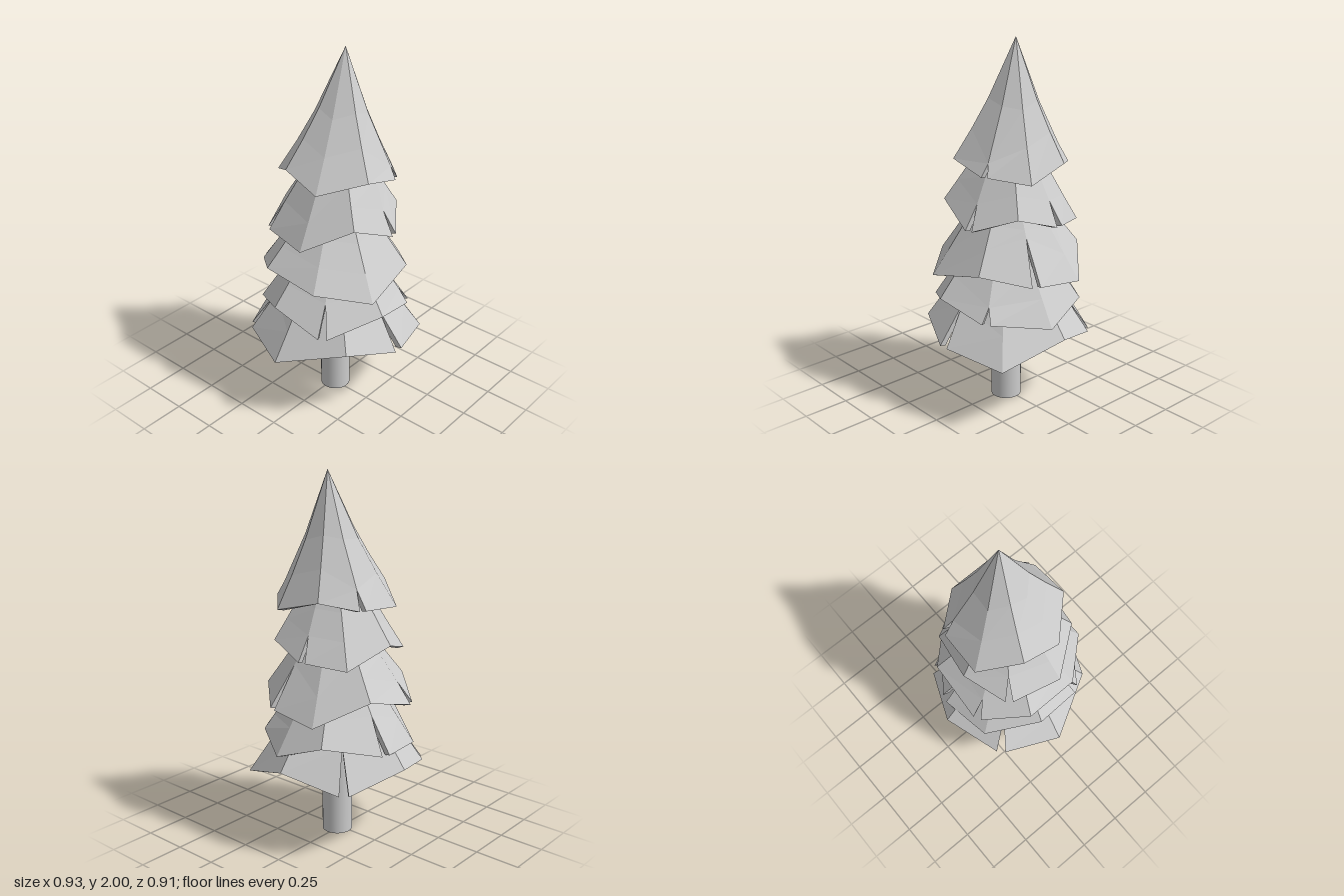
import * as THREE from 'three';

const THICKNESS = 0.035;
const NOTCH_HALF_WIDTH = THREE.MathUtils.degToRad(3.2);
const AXIS_Z = 0.01;

// Thick, faceted skirt with eight rim corners [degrees from +x towards +z,
// height, radius if it differs] and notches [degrees, height, start of the slit
// between the hub (0) and the rim (1)].
function tierGeometry({ hub, top, open, waist, centre, radius, corners, notches }) {
  const positions = [];
  const quad = (a, b, c, d) => {
    for (const p of [a, b, c, a, c, d]) positions.push(p.x, p.y, p.z);
  };
  // Matching point on the underside
  const inset = (p) => {
    const out = new THREE.Vector3(p.x - hub, 0, p.z - AXIS_Z);
    out.setLength(Math.max(out.length() - THICKNESS, 0));
    return new THREE.Vector3(hub + out.x, p.y - THICKNESS * 0.2, AXIS_Z + out.z);
  };
  const rimPoint = (c, angle) => new THREE.Vector3(
    centre + c.r * Math.cos(angle), c.y, c.r * Math.sin(angle));
  // Top ring, waist, start of the slit and rim of one rib
  const rib = (c, side) => {
    const angle = THREE.MathUtils.degToRad(c.deg);
    const foot = rimPoint(c, angle);
    const onSlope = (t, scale) => {
      const k = (open + (1 - open) * t) * scale;
      return new THREE.Vector3(
        hub + (foot.x - hub) * k, top + (c.y - top) * t, AXIS_Z + (foot.z - AXIS_Z) * k);
    };
    const outer = [
      onSlope(0, 1),
      onSlope(0.5, waist),
      onSlope(c.slit, THREE.MathUtils.mapLinear(c.slit, 0.5, 1, waist, 1)),
      rimPoint(c, angle + (c.notch ? side * NOTCH_HALF_WIDTH : 0)),
    ];
    return { outer, inner: outer.map(inset) };
  };

  const ring = [
    ...corners.map(([deg, y, r = radius]) => ({ deg, y, r, slit: 0.75, notch: false })),
    ...notches.map(([deg, y, slit]) => ({ deg, y, r: radius, slit, notch: true })),
  ].sort((a, b) => a.deg - b.deg);

  ring.forEach((from, i) => {
    const to = ring[(i + 1) % ring.length];
    const a = rib(from, 1), b = rib(to, -1);
    // Outside and underside
    for (let j = 0; j < 3; j++) {
      quad(a.outer[j], b.outer[j], b.outer[j + 1], a.outer[j + 1]);
      quad(b.inner[j], a.inner[j], a.inner[j + 1], b.inner[j + 1]);
    }
    // Rim and notch walls
    quad(a.outer[3], b.outer[3], b.inner[3], a.inner[3]);
    if (from.notch) quad(a.outer[2], a.outer[3], a.inner[3], a.inner[2]);
    if (to.notch) quad(b.outer[3], b.outer[2], b.inner[2], b.inner[3]);
  });

  const geometry = new THREE.BufferGeometry();
  geometry.setAttribute('position', new THREE.Float32BufferAttribute(positions, 3));
  geometry.computeVertexNormals();
  return geometry;
}

export function createModel() {
  const tree = new THREE.Group();
  tree.name = 'tree';
  const grey = new THREE.MeshStandardMaterial({ color: 0xcccccc });
  grey.name = 'light grey';

  // Trunk
  const trunk = new THREE.Mesh(new THREE.CylinderGeometry(0.083, 0.083, 0.9, 32), grey);
  trunk.name = 'trunk';
  trunk.position.set(0.012, 0.45, AXIS_Z);
  tree.add(trunk);

  const addTier = (name, shape) => {
    const mesh = new THREE.Mesh(tierGeometry({ open: 0.2, waist: 0.97, ...shape }), grey);
    mesh.name = name;
    tree.add(mesh);
  };

  // Branch tiers, from the ground up
  addTier('bottomBranches', {
    hub: 0, top: 0.98, centre: 0, radius: 0.455,
    corners: [[1, 0.48, 0.465], [44, 0.365, 0.5], [130, 0.48, 0.43], [181, 0.385, 0.465], [272, 0.48]],
    notches: [[88, 0.42, 0.63], [226, 0.41, 0.63], [317, 0.395, 0.63]],
  });
  addTier('lowerBranches', {
    hub: 0.01, top: 1.1, centre: 0.01, radius: 0.41,
    corners: [[9, 0.545, 0.425], [101, 0.655], [192, 0.66, 0.395], [239, 0.545], [332, 0.635]],
    notches: [[57, 0.585, 0.85], [148, 0.565, 0.7], [283, 0.57, 0.65]],
  });
  addTier('middleBranches', {
    hub: 0.03, top: 1.3, centre: 0.01, radius: 0.4,
    corners: [[63, 0.84], [111, 0.765, 0.42], [155, 0.82, 0.39], [202, 0.87, 0.395],
      [296, 0.87], [338, 0.745, 0.42]],
    notches: [[20, 0.78, 0.57], [245, 0.78, 0.78]],
  });
  addTier('upperBranches', {
    hub: 0.04, top: 1.57, centre: 0.01, radius: 0.35,
    corners: [[33, 1.13], [122, 1.16, 0.335], [169, 1.035], [265, 1.12, 0.325], [313, 1.035, 0.37]],
    notches: [[76, 1.055, 0.75], [219, 1.05, 0.72], [352, 1.06, 0.75]],
  });
  addTier('crown', {
    hub: 0.085, top: 2, open: 0, waist: 0.88, centre: 0.04, radius: 0.315,
    corners: [[24, 1.305, 0.325], [111, 1.395], [160, 1.335], [201, 1.41, 0.3],
      [246, 1.31, 0.33], [336, 1.37, 0.295]],
    notches: [[67, 1.34, 0.9], [293, 1.33, 0.85]],
  });
  return tree;
}
